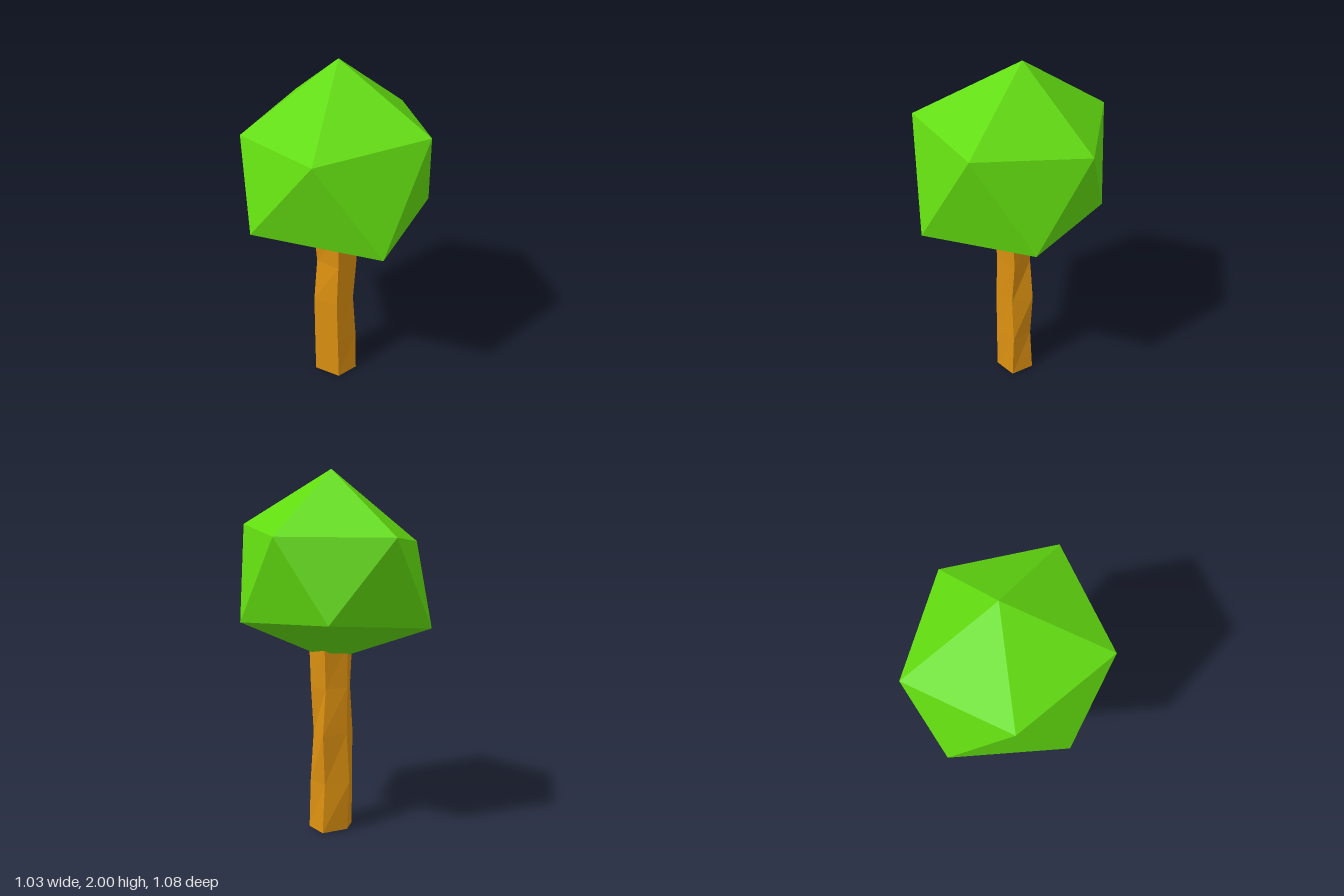
import * as THREE from 'three';

// Flat-shaded solid from stacked five-sided rings, counter-clockwise seen from above,
// lowest ring first, closed by a point at each end.
// twisted: each ring sits half a step behind the one below, joined by alternating triangles.
function ringSolid(rings, bottom, top, twisted) {
  const points = [bottom, ...rings.flat(), top];
  const sides = rings[0].length;
  const at = (r, i) => 1 + r * sides + (i % sides);
  const last = rings.length - 1;
  const faces = [];
  for (let i = 0; i < sides; i++) {
    faces.push(0, at(0, i + 1), at(0, i));
    for (let r = 0; r < last; r++) {
      if (twisted) {
        faces.push(at(r + 1, i), at(r, i), at(r + 1, i + 1));
        faces.push(at(r, i), at(r, i + 1), at(r + 1, i + 1));
      } else {
        faces.push(at(r, i), at(r, i + 1), at(r + 1, i + 1));
        faces.push(at(r, i), at(r + 1, i + 1), at(r + 1, i));
      }
    }
    faces.push(at(last, i), at(last, i + 1), points.length - 1);
  }
  const geometry = new THREE.BufferGeometry();
  geometry.setAttribute('position', new THREE.Float32BufferAttribute(points.flat(), 3));
  geometry.setIndex(faces);
  const flat = geometry.toNonIndexed();
  flat.computeVertexNormals();
  return flat;
}

export function createModel() {
  const leafGreen = new THREE.MeshStandardMaterial({ color: 0x62dc10, flatShading: true });
  leafGreen.name = 'leafGreen';
  const barkOrange = new THREE.MeshStandardMaterial({ color: 0xdb9010, flatShading: true });
  barkOrange.name = 'barkOrange';

  // Crown: an uneven twenty-sided ball
  const lower = [[0.405, 1.21, -0.26], [-0.12, 1.17, -0.54], [-0.515, 1.2, -0.05],
    [-0.145, 1.17, 0.535], [0.43, 1.195, 0.31]];
  const upper = [[0.515, 1.645, 0], [0.195, 1.64, -0.52], [-0.365, 1.62, -0.295],
    [-0.405, 1.69, 0.31], [0.185, 1.715, 0.505]];
  const crown = new THREE.Mesh(
    ringSolid([lower, upper], [0.01, 0.965, 0.02], [0.053, 2, -0.013], true), leafGreen);
  crown.name = 'crown';

  // Trunk: five-sided, with slightly wobbly sections given as height and x, z corners
  const sections = [
    [0.005, [[0.145, -0.02], [0.01, -0.09], [-0.09, -0.05], [-0.035, 0.1], [0.1, 0.11]]],
    [0.28, [[0.125, -0.02], [0.01, -0.105], [-0.093, -0.05], [-0.04, 0.095], [0.1, 0.1]]],
    [0.56, [[0.14, -0.02], [0.015, -0.09], [-0.095, -0.05], [-0.045, 0.09], [0.08, 0.093]]],
    [0.82, [[0.115, -0.02], [0.01, -0.09], [-0.07, -0.05], [-0.035, 0.09], [0.1, 0.095]]],
    [1.06, [[0.125, -0.02], [0.01, -0.09], [-0.09, -0.05], [-0.04, 0.1], [0.1, 0.105]]],
  ];
  const rings = sections.map(([y, corners]) => corners.map(([x, z]) => [x, y, z]));
  const trunk = new THREE.Mesh(
    ringSolid(rings, [0.02, 0, 0], [0.02, 1.06, 0], false), barkOrange);
  trunk.name = 'trunk';

  const tree = new THREE.Group();
  tree.name = 'tree';
  tree.add(crown, trunk);
  return tree;
}
